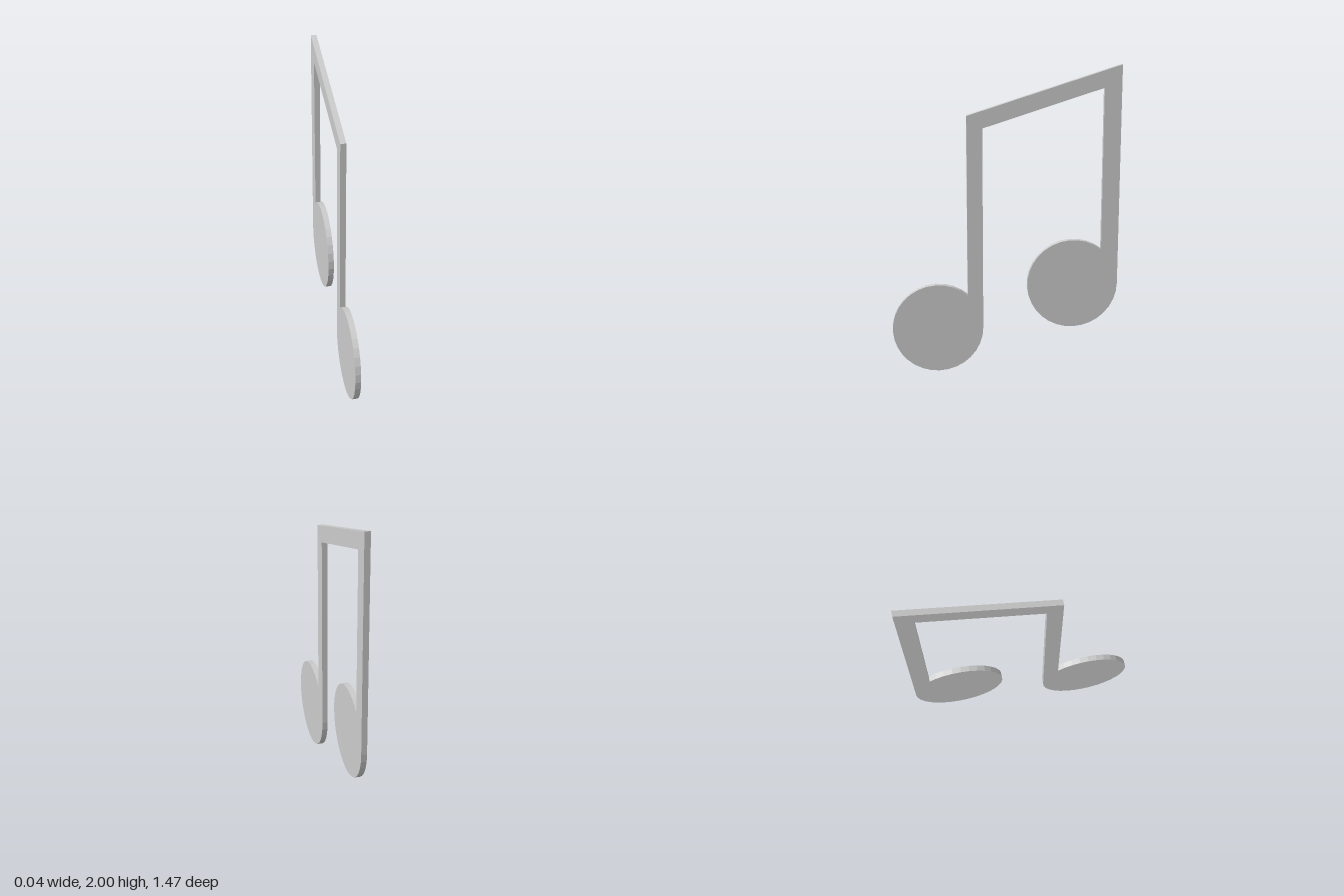
import * as THREE from 'three';

const THICKNESS = 0.037;
const HEAD_RADIUS = 0.295;

// Note heads and stems in the profile plane: u runs towards the back, v is up
const frontNote = { u: -0.44, v: 0.295, stem: [-0.245, -0.145], outerTop: 1.69, innerTop: 1.61 };
const backNote = { u: 0.437, v: 0.577, stem: [0.622, 0.732], outerTop: 2.0, innerTop: 1.855 };

// Round head, from where the stem's inner corner meets it, round to the stem's back edge
function addHead(shape, note) {
  const start = Math.acos((note.stem[0] - note.u) / HEAD_RADIUS);
  shape.absarc(note.u, note.v, HEAD_RADIUS, start, Math.PI * 2, false);
}

export function createModel() {
  const group = new THREE.Group();
  group.name = 'beamedMusicNotes';

  // One continuous outline: front stem, underside of beam, back note, top of beam, front note
  const outline = new THREE.Shape();
  outline.moveTo(frontNote.stem[1], frontNote.v);
  outline.lineTo(frontNote.stem[1], frontNote.innerTop);
  outline.lineTo(backNote.stem[0], backNote.innerTop);
  addHead(outline, backNote);
  outline.lineTo(backNote.stem[1], backNote.outerTop);
  outline.lineTo(frontNote.stem[0], frontNote.outerTop);
  addHead(outline, frontNote);

  const geometry = new THREE.ExtrudeGeometry(outline, {
    depth: THICKNESS,
    bevelEnabled: false,
    curveSegments: 14, // arcs are divided twice as finely
  });
  // Turn the plate so its broad faces look along x
  geometry.translate(0, 0, -THICKNESS / 2);
  geometry.rotateY(Math.PI / 2);

  const plate = new THREE.Mesh(
    geometry,
    new THREE.MeshStandardMaterial({ color: 0xcccccc, flatShading: true })
  );
  plate.name = 'noteHeadsStemsAndBeam';
  group.add(plate);
  return group;
}
